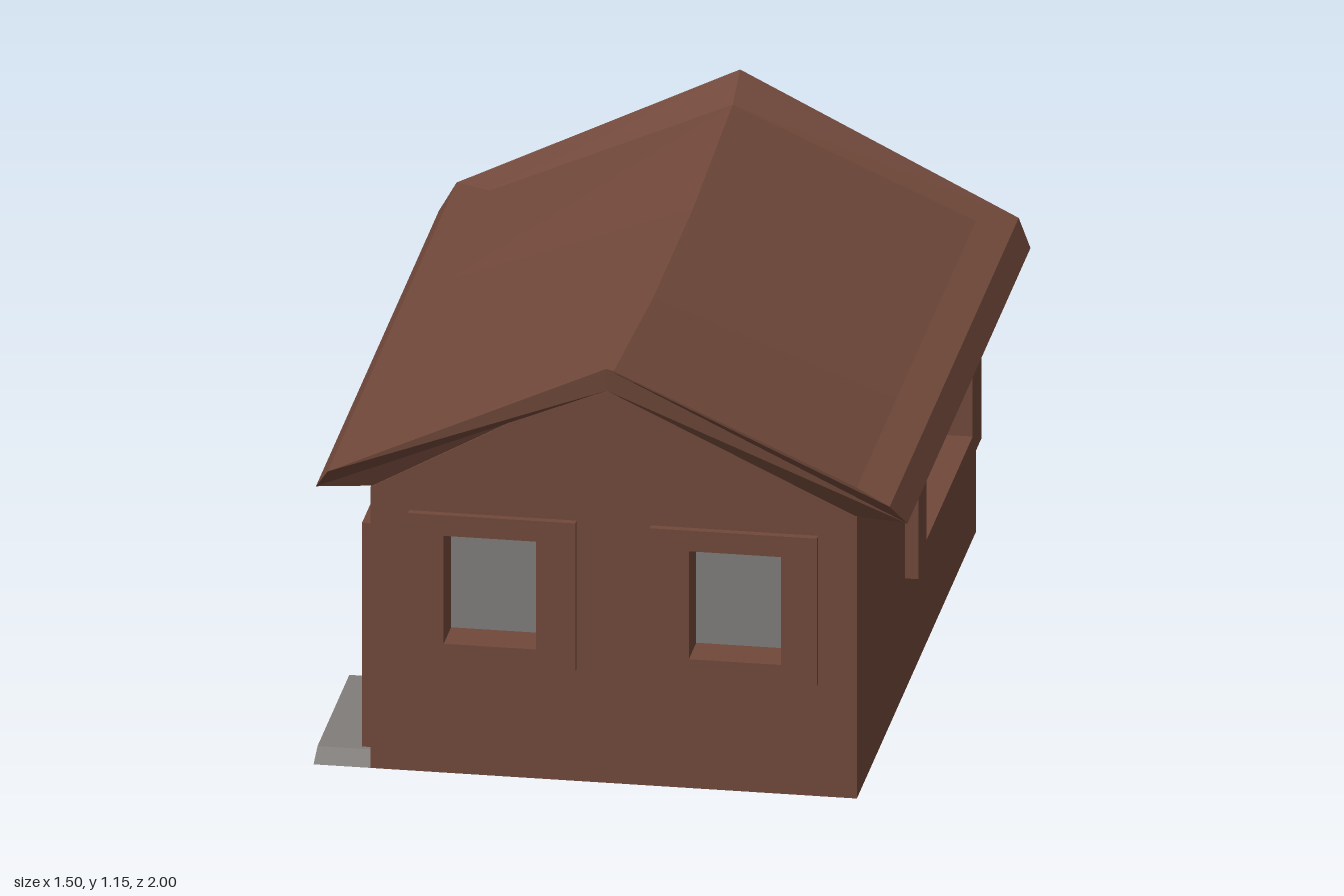
import * as THREE from 'three';

const brown = new THREE.MeshStandardMaterial({ color: 0x70483a });
brown.name = 'brown';
const grey = new THREE.MeshStandardMaterial({ color: 0x807d7a });
grey.name = 'grey';

function add(parent, name, geometry, material, x = 0, y = 0, z = 0) {
  const mesh = new THREE.Mesh(geometry, material);
  mesh.name = name;
  mesh.position.set(x, y, z);
  parent.add(mesh);
  return mesh;
}

function polygon(points) {
  return new THREE.Shape(points.map(([x, y]) => new THREE.Vector2(x, y)));
}

const rect = ([x0, x1, y0, y1]) => polygon([[x0, y0], [x1, y0], [x1, y1], [x0, y1]]);
const extrude = (shape, depth) => new THREE.ExtrudeGeometry(shape, { depth, bevelEnabled: false });

// A wall facing local +z with its outer face at z = 0, plus framed, recessed openings
function makeWall(name, outline, thickness, frameDepth, openings) {
  const group = new THREE.Group();
  group.name = name;
  const wall = polygon(outline);
  for (const { kind, frame, hole, recess } of openings) {
    wall.holes.push(rect(hole));
    const ring = rect(frame);
    ring.holes.push(rect(hole));
    add(group, kind + 'Frame', extrude(ring, frameDepth), brown);
    const [x0, x1, y0, y1] = hole;
    add(group, kind + 'Glass', new THREE.BoxGeometry(x1 - x0 + 0.002, y1 - y0 + 0.002, 0.006), grey,
      (x0 + x1) / 2, (y0 + y1) / 2, -recess - 0.003);
  }
  add(group, name + 'Panel', extrude(wall, thickness), brown, 0, 0, -thickness);
  return group;
}

// Sagging roof with flared rims: one quarter, mirrored in x and z
function roofGeometry() {
  const P = {
    ridgeTip: [0, 1.15, 1], eaveTip: [0.705, 0.815, 0.965],
    ridgeIn: [0, 1.10, 0.89], slopeIn: [0.61, 0.83, 0.89],
    ridgeSag: [0, 1.06, 0.3], slopeSag: [0.61, 0.83, 0.3],
    ridgeMid: [0, 1.06, 0], slopeMid: [0.61, 0.83, 0],
    eaveMid: [0.705, 0.815, 0], dripTip: [0.742, 0.755, 0.92], dripMid: [0.742, 0.755, 0],
    lowRidge: [0, 1.09, 0.995], wallTop: [0, 1.09, 0.885],
    wallEave: [0.605, 0.752, 0.885], wallMid: [0.605, 0.752, 0],
  };
  const quads = [
    ['ridgeTip', 'eaveTip', 'slopeIn', 'ridgeIn'],
    ['ridgeIn', 'slopeIn', 'slopeSag', 'ridgeSag'],
    ['ridgeSag', 'slopeSag', 'slopeMid', 'ridgeMid'],
    ['slopeIn', 'eaveTip', 'eaveMid', 'slopeMid'],
    ['eaveTip', 'dripTip', 'dripMid', 'eaveMid'],
    ['ridgeTip', 'lowRidge', 'dripTip', 'eaveTip'],
    ['lowRidge', 'wallTop', 'wallEave', 'dripTip'],
    ['dripTip', 'wallEave', 'wallMid', 'dripMid'],
  ];
  const positions = [];
  for (const sx of [1, -1]) for (const sz of [1, -1]) for (const quad of quads) {
    const c = quad.map((key) => [P[key][0] * sx, P[key][1], P[key][2] * sz]);
    if (sx * sz < 0) c.reverse();
    for (const i of [0, 1, 2, 0, 2, 3]) positions.push(...c[i]);
  }
  const geometry = new THREE.BufferGeometry();
  geometry.setAttribute('position', new THREE.Float32BufferAttribute(positions, 3));
  geometry.computeVertexNormals();
  return geometry;
}

export function createModel() {
  const model = new THREE.Group();
  model.name = 'house';
  const body = new THREE.Group();
  body.name = 'body';
  body.position.x = 0.003;
  model.add(body);

  // Gable walls, each with two windows
  const gable = [[-0.61, 0], [0.61, 0], [0.61, 0.75], [0, 1.09], [-0.61, 0.75]];
  const gableWindows = [
    { kind: 'window', frame: [-0.513, -0.093, 0.3, 0.695], hole: [-0.423, -0.192, 0.352, 0.64], recess: 0.09 },
    { kind: 'window', frame: [0.093, 0.513, 0.3, 0.695], hole: [0.192, 0.423, 0.352, 0.64], recess: 0.09 },
  ];
  for (const [name, side] of [['frontWall', 1], ['backWall', -1]]) {
    const wall = makeWall(name, gable, 0.1, 0.02, gableWindows);
    wall.position.z = 0.89 * side;
    wall.rotation.y = side > 0 ? 0 : Math.PI;
    body.add(wall);
  }

  // Long walls: a wide window on each, and the door on the -x side
  const long = [[-0.88, 0], [0.88, 0], [0.88, 0.75], [-0.88, 0.75]];
  const leftWall = makeWall('leftWall', long, 0.165, 0.034, [
    { kind: 'wideWindow', frame: [-0.17, 0.77, 0.3, 0.695], hole: [-0.05, 0.64, 0.357, 0.64], recess: 0.155 },
  ]);
  leftWall.position.x = 0.61;
  leftWall.rotation.y = Math.PI / 2;
  const rightWall = makeWall('rightWall', long, 0.165, 0.034, [
    { kind: 'wideWindow', frame: [-0.77, 0.17, 0.3, 0.695], hole: [-0.64, 0.05, 0.357, 0.64], recess: 0.155 },
    { kind: 'door', frame: [0.37, 0.815, 0, 0.622], hole: [0.435, 0.75, 0.025, 0.575], recess: 0.08 },
  ]);
  rightWall.position.x = -0.61;
  rightWall.rotation.y = -Math.PI / 2;
  body.add(leftWall, rightWall);

  // Floor and roof
  add(body, 'floor', new THREE.BoxGeometry(1.21, 0.015, 1.77), brown, 0, 0.0075, 0);
  add(body, 'roof', roofGeometry(), brown);

  // Doorstep with sloping ends
  const step = polygon([[0.295, 0], [0.89, 0], [0.83, 0.025], [0.355, 0.025]]);
  const doorstep = add(body, 'doorstep', extrude(step, 0.143), grey, -0.61, 0, 0);
  doorstep.rotation.y = -Math.PI / 2;
  return model;
}
